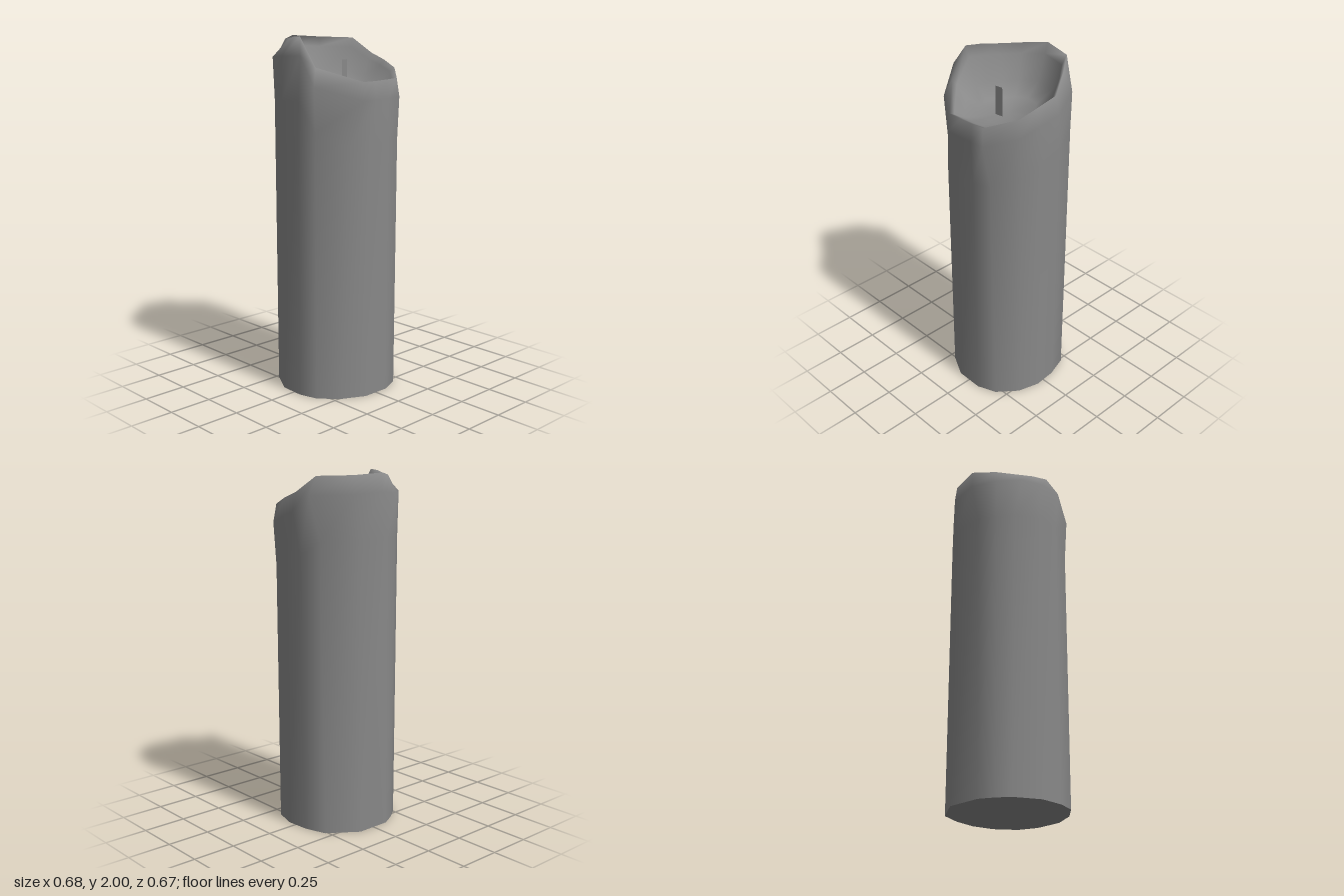
import * as THREE from 'three';

// Outline points, counterclockwise from above: [base x, z], [shoulder x, z], [crest x, y, z]
const COLUMNS = [
  [[0.19, 0.285], [0.16, 0.33], [0.15, 1.775, 0.318]],
  [[0.28, 0.175], [0.29, 0.195], [0.275, 1.82, 0.185]],
  [[0.315, 0.05], [0.32, 0.08], [0.3, 1.86, 0.08]],
  [[0.305, -0.08], [0.34, -0.035], [0.315, 1.895, -0.035]],
  [[0.265, -0.205], [0.32, -0.15], [0.265, 1.98, -0.14]],
  [[0.1, -0.322], [0.14, -0.31], [0.14, 1.985, -0.295]],
  [[-0.1, -0.322], [-0.03, -0.335], [-0.03, 1.995, -0.33]],
  [[-0.18, -0.28], [-0.19, -0.29], [-0.15, 1.98, -0.255]],
  [[-0.25, -0.23], [-0.3, -0.19], [-0.215, 1.985, -0.15]],
  [[-0.33, -0.09], [-0.34, -0.065], [-0.265, 1.995, -0.055]],
  [[-0.335, 0.05], [-0.34, 0.08], [-0.295, 2.0, 0.03]],
  [[-0.305, 0.16], [-0.325, 0.17], [-0.285, 1.84, 0.14]],
  [[-0.21, 0.258], [-0.105, 0.33], [-0.105, 1.765, 0.318]],
  [[-0.08, 0.325], [-0.02, 0.33], [-0.02, 1.766, 0.318]],
  [[0.08, 0.328], [0.07, 0.33], [0.07, 1.77, 0.318]],
];

// Skins a stack of rings and closes the last one with a centre point
function skinRings(rings, centre) {
  const n = rings[0].length;
  const positions = [...rings.flat(2), ...centre];
  const index = [];
  for (let j = 0; j < rings.length - 1; j++) {
    for (let i = 0; i < n; i++) {
      const k = (i + 1) % n;
      const a = j * n + i, b = j * n + k, c = a + n, d = b + n;
      index.push(a, b, d, a, d, c);
    }
  }
  const last = (rings.length - 1) * n;
  for (let i = 0; i < n; i++) index.push(last + i, last + (i + 1) % n, last + n);
  const geometry = new THREE.BufferGeometry();
  geometry.setAttribute('position', new THREE.Float32BufferAttribute(positions, 3));
  geometry.setIndex(index);
  geometry.computeVertexNormals();
  return geometry;
}

export function createModel() {
  const group = new THREE.Group();
  const material = new THREE.MeshStandardMaterial({ color: 0x888888, side: THREE.DoubleSide });
  const add = (name, geometry) => {
    const mesh = new THREE.Mesh(geometry, material);
    mesh.name = name;
    group.add(mesh);
    return mesh;
  };
  const { lerp } = THREE.MathUtils;

  // Wax: straight wall, swollen shoulder, uneven crest and a melted bowl
  const base = COLUMNS.map(([b]) => [b[0], 0, b[1]]);
  const wall = COLUMNS.map(([b, s, c]) =>
    [lerp(b[0], s[0], 0.3), c[1] - 0.34, lerp(b[1], s[1], 0.3)]);
  const shoulder = COLUMNS.map(([, s, c]) => [s[0], c[1] - 0.1, s[1]]);
  const crest = COLUMNS.map(([, , c]) => c);
  const inner = (scale, depth) => COLUMNS.map(([, , c]) =>
    [c[0] * scale, lerp(c[1], 1.71, depth), c[2] * scale]);
  add('waxBody', skinRings(
    [base, wall, shoulder, crest, inner(0.92, 0.2), inner(0.76, 0.7), inner(0.5, 0.95)],
    [0, 1.7, 0]
  ));

  // Flat underside
  add('underside', skinRings([base.slice().reverse()], [0, 0, 0]));

  // Wick: thin upright strip
  const wick = add('wick', new THREE.PlaneGeometry(0.045, 0.18));
  wick.position.set(0, 1.78, 0.065);
  wick.rotation.y = 0.15;

  return group;
}
